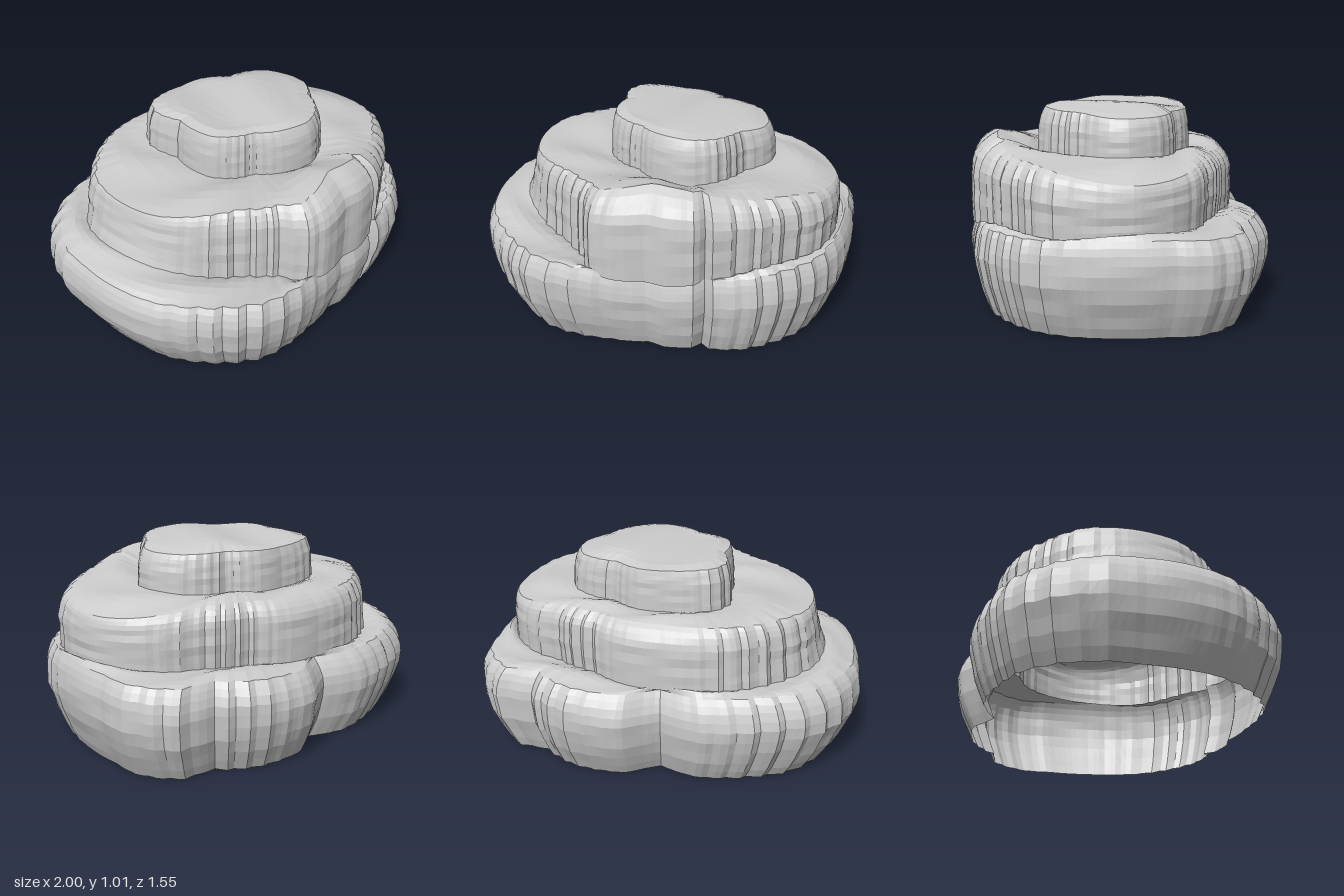
import * as THREE from 'three';

const SEGMENTS = 160;
const CENTRE_X = 0.05;

// Plan outlines as x, z pairs
const BASE = [0.995, -0.29, 0.98, -0.13, 0.96, 0.13, 0.91, 0.32, 0.81, 0.51, 0.62, 0.67, 0.49, 0.73, 0.32, 0.745,
  0.28, 0.70, 0.24, 0.75, 0.08, 0.765, 0, 0.735, -0.23, 0.757, -0.58, 0.725, -0.72, 0.62, -0.88, 0.43, -0.95, 0.3,
  -0.99, -0.13, -0.98, -0.29, -0.9, -0.48, -0.74, -0.66, -0.5, -0.745, -0.21, -0.775, -0.07, -0.72, 0, -0.68,
  0.085, -0.72, 0.19, -0.775, 0.49, -0.72, 0.62, -0.63, 0.68, -0.56, 0.86, -0.53, 0.94, -0.43];
const MIDDLE = [0.89, 0.02, 0.87, 0.24, 0.8, 0.4, 0.62, 0.55, 0.43, 0.65, 0.32, 0.72, 0.28, 0.68, 0.24, 0.74,
  0.1, 0.76, 0, 0.735, -0.15, 0.755, -0.28, 0.72, -0.34, 0.59, -0.46, 0.46, -0.62, 0.32, -0.73, 0.14, -0.76, -0.18,
  -0.72, -0.34, -0.55, -0.51, -0.31, -0.63, 0, -0.64, 0.19, -0.6, 0.35, -0.5, 0.57, -0.38, 0.7, -0.32, 0.82, -0.18];
const TOP = [0.54, 0, 0.52, 0.1, 0.4, 0.21, 0.27, 0.36, 0.14, 0.41, 0, 0.37, -0.13, 0.25, -0.3, 0.11, -0.29, -0.13,
  -0.31, -0.3, -0.25, -0.39, 0, -0.4, 0.14, -0.38, 0.27, -0.28, 0.49, -0.16];

// Turns an outline into radius as a function of angle, with ragged diagonals
function radial(outline, steps) {
  const polar = [];
  for (let i = 0; i < outline.length; i += 2) {
    const x = outline[i] - CENTRE_X, z = outline[i + 1];
    polar.push([(Math.atan2(z, x) + 2 * Math.PI) % (2 * Math.PI), Math.hypot(x, z)]);
  }
  polar.sort((a, b) => a[0] - b[0]);
  const first = polar[0], last = polar[polar.length - 1];
  polar.unshift([last[0] - 2 * Math.PI, last[1]]);
  polar.push([first[0] + 2 * Math.PI, first[1]]);
  return (angle) => {
    let k = 1;
    while (polar[k][0] < angle) k++;
    const [a0, r0] = polar[k - 1], [a1, r1] = polar[k];
    const r = r0 + (r1 - r0) * (angle - a0) / (a1 - a0);
    const ragged = Math.sin(2 * angle) ** 2;
    return r * (1 + 0.012 * ragged * Math.sin(angle * steps));
  };
}

// Smooth value around the rock from eight samples, +x first, turning towards the front
function around(values) {
  return (angle) => {
    const t = (angle / (2 * Math.PI)) * 8, i = Math.floor(t), f = t - i;
    const s = f * f * (3 - 2 * f);
    return values[i % 8] * (1 - s) + values[(i + 1) % 8] * s;
  };
}

// Joins rings of (angle) => [radius, y] into one faceted surface
function loft(name, rings) {
  const positions = [], index = [];
  rings.forEach((ring, i) => {
    for (let j = 0; j < SEGMENTS; j++) {
      const a = (j / SEGMENTS) * Math.PI * 2;
      const [r, y] = ring(a);
      positions.push(CENTRE_X + r * Math.cos(a), y, r * Math.sin(a));
      if (i === rings.length - 1) continue;
      const n = (j + 1) % SEGMENTS, lo = i * SEGMENTS, hi = lo + SEGMENTS;
      index.push(lo + j, hi + j, lo + n, hi + j, hi + n, lo + n);
    }
  });
  const geometry = new THREE.BufferGeometry();
  geometry.setAttribute('position', new THREE.Float32BufferAttribute(positions, 3));
  geometry.setIndex(index);
  geometry.computeVertexNormals();
  const mesh = new THREE.Mesh(geometry, new THREE.MeshStandardMaterial({
    color: 0xcccccc, flatShading: true, side: THREE.DoubleSide,
  }));
  mesh.name = name;
  return mesh;
}

// Weathered wall drawn in at its foot and rounded over at its rim
function wallScale(tier, a, h) {
  return 1 + 0.2 * tier.footIn(a) - tier.footIn(a) * (1 - h) ** 2 - tier.rimIn(a) * h ** tier.roundness;
}

function wall(tier) {
  return [0, 0.12, 0.25, 0.4, 0.55, 0.68, 0.78, 0.87, 0.94, 1].map((h) => (a) => {
    const bedding = 0.006 * Math.sin(h * 17 + 3 * a) * Math.sin(5 * a + h * 4) * Math.sin(Math.PI * h);
    const foot = tier.foot(a);
    return [tier.radius(a) * (wallScale(tier, a, h) + bedding), foot + (tier.rim(a) - foot) * h];
  });
}

// Lumpy ledge from a tier's rim down into the trough at the foot of the tier above
function ledge(lower, upper, swell) {
  return [0.15, 0.35, 0.55, 0.75, 0.9, 1].map((t) => (a) => {
    const r0 = lower.radius(a) * wallScale(lower, a, 1), r1 = upper.radius(a) * wallScale(upper, a, 0);
    const hump = swell * Math.sin(Math.PI * t) * (1 + 0.7 * Math.sin(7 * a + t * 3));
    return [r0 + (r1 - r0) * t, lower.rim(a) + (upper.foot(a) - lower.rim(a)) * t + hump];
  });
}

export function createModel() {
  const group = new THREE.Group();
  group.name = 'layeredRock';

  const base = {
    radius: radial(BASE, 52), roundness: 5,
    foot: () => 0,
    rim: around([0.48, 0.46, 0.41, 0.46, 0.47, 0.46, 0.44, 0.46]),
    footIn: around([0.13, 0.12, 0.1, 0.14, 0.16, 0.15, 0.15, 0.14]),
    rimIn: around([0.06, 0.06, 0.05, 0.07, 0.06, 0.1, 0.13, 0.1]),
  };
  const middle = {
    radius: radial(MIDDLE, 58), roundness: 7,
    foot: around([0.48, 0.45, 0.4, 0.42, 0.51, 0.46, 0.45, 0.46]),
    rim: around([0.71, 0.78, 0.86, 0.79, 0.76, 0.76, 0.76, 0.76]),
    footIn: around([0, 0.01, 0, -0.01, -0.07, -0.02, 0, 0.02]),
    rimIn: around([0.03, 0.1, 0.19, 0.08, 0.02, 0.06, 0.12, 0.1]),
  };
  const top = {
    radius: radial(TOP, 46), roundness: 4,
    foot: around([0.78, 0.77, 0.76, 0.755, 0.765, 0.775, 0.76, 0.765]),
    rim: around([0.96, 0.98, 0.99, 0.985, 0.99, 0.98, 0.965, 0.965]),
    footIn: () => -0.01,
    rimIn: around([0.08, 0.07, 0.1, 0.08, 0.06, 0.06, 0.04, 0.06]),
  };

  // Wide bottom tier, open underneath, then the middle tier
  group.add(loft('baseTier', [...wall(base), ...ledge(base, middle, 0.015)]));
  group.add(loft('middleTier', [...wall(middle), ...ledge(middle, top, 0.015)]));

  // Top tier with a gently rolling cap
  const cap = [0.85, 0.7, 0.55, 0.4, 0.25, 0.12, 0].map((s) => (a) => {
    const r = top.radius(a) * wallScale(top, a, 1) * s;
    const x = CENTRE_X + r * Math.cos(a), z = r * Math.sin(a);
    const roll = 0.985 + 0.012 * Math.sin(12 * x + 5 * z - 0.6) + 0.015 * Math.cos(4 * z - 0.3);
    const blend = Math.min(1, (1 - s) * 3);
    return [r, (top.rim(a) + 0.012) * (1 - blend) + roll * blend];
  });
  group.add(loft('topTier', [...wall(top), ...cap]));
  return group;
}
